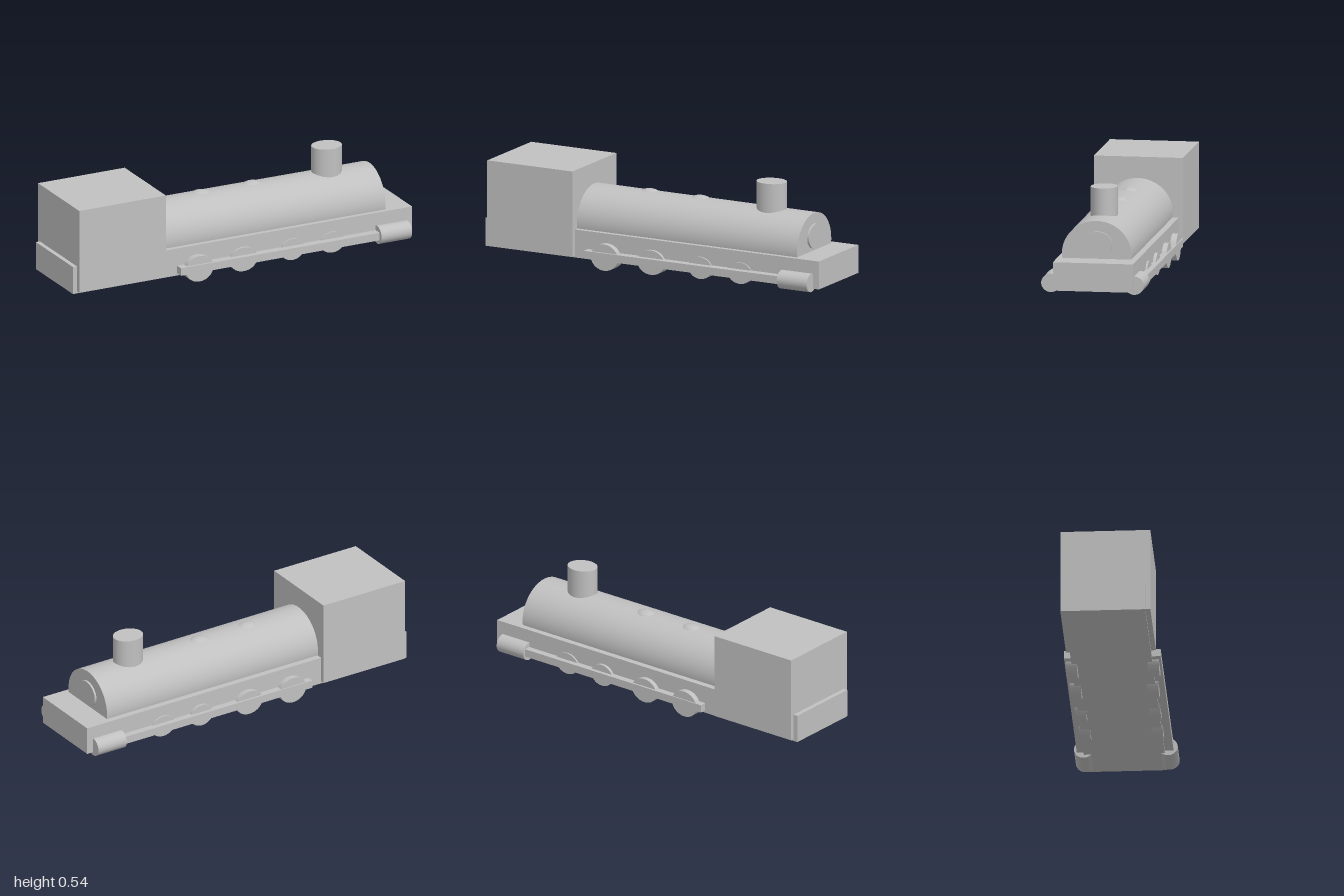
import * as THREE from 'three';

export function createModel() {
  const model = new THREE.Group();
  model.name = 'locomotive';
  const grey = new THREE.MeshStandardMaterial({ color: 0xc0c0c0 });
  grey.name = 'plain grey';

  const add = (name, geometry) => {
    const mesh = new THREE.Mesh(geometry, grey);
    mesh.name = name;
    model.add(mesh);
    return mesh;
  };

  // Box given by its limits on each axis
  const box = (name, [x0, x1], [y0, y1], [z0, z1]) =>
    add(name, new THREE.BoxGeometry(x1 - x0, y1 - y0, z1 - z0))
      .position.set((x0 + x1) / 2, (y0 + y1) / 2, (z0 + z1) / 2);

  // Oval cylinder lying along x
  const barrel = (name, [x0, x1], y, z, ry, rz) => {
    const g = new THREE.CylinderGeometry(1, 1, x1 - x0, 48);
    g.rotateZ(-Math.PI / 2).scale(1, ry, rz);
    const mesh = add(name, g);
    mesh.position.set((x0 + x1) / 2, y, z);
    return mesh;
  };

  // Chassis and cab
  box('chassis', [-1, 1], [0.045, 0.196], [-0.22, 0.205]);
  box('cab', [-0.976, -0.465], [0.056, 0.514], [-0.242, 0.231]);

  // Boiler, dropping very slightly toward the front, and its round door
  barrel('boiler', [-0.5, 0.855], 0.222, -0.004, 0.177, 0.185).rotation.z = -0.003;
  barrel('boilerDoor', [0.8, 0.866], 0.274, -0.008, 0.067, 0.079);

  // Chimney
  const chimney = new THREE.CylinderGeometry(1, 1, 0.24, 48);
  chimney.scale(0.083, 1, 0.071);
  add('chimney', chimney).position.set(0.602, 0.42, -0.002);

  // Low domes on top of the boiler
  for (const x of [-0.135, 0.167]) {
    const dome = new THREE.SphereGeometry(1, 32, 20);
    dome.scale(0.066, 0.036, 0.05);
    add('dome', dome).position.set(x, 0.374, -0.014);
  }

  // Wheels: x, centre y, radius x, radius y, outer z on the two sides
  const wheels = [
    [-0.27, 0.074, 0.081, 0.071, 0.239, -0.251],
    [0.0, 0.075, 0.081, 0.066, 0.221, -0.246],
    [0.291, 0.079, 0.07, 0.059, 0.214, -0.236],
    [0.528, 0.079, 0.072, 0.058, 0.212, -0.229],
  ];
  for (const [x, y, rx, ry, zLeft, zRight] of wheels) {
    for (const z of [zLeft, zRight]) {
      const width = 0.06;
      const g = new THREE.CylinderGeometry(1, 1, width, 40);
      g.rotateX(Math.PI / 2).scale(rx, ry, 1);
      add('wheel', g).position.set(x, y, z - Math.sign(z) * width / 2);
    }
  }

  // Coupling rods and steam cylinders
  box('couplingRod', [-0.386, 0.8], [0.058, 0.1], [0.205, 0.251]);
  box('couplingRod', [-0.386, 0.8], [0.058, 0.1], [-0.257, -0.22]);
  barrel('steamCylinder', [0.785, 0.965], 0.08, 0.222, 0.049, 0.051);
  barrel('steamCylinder', [0.785, 0.963], 0.077, -0.221, 0.049, 0.051);

  return model;
}
